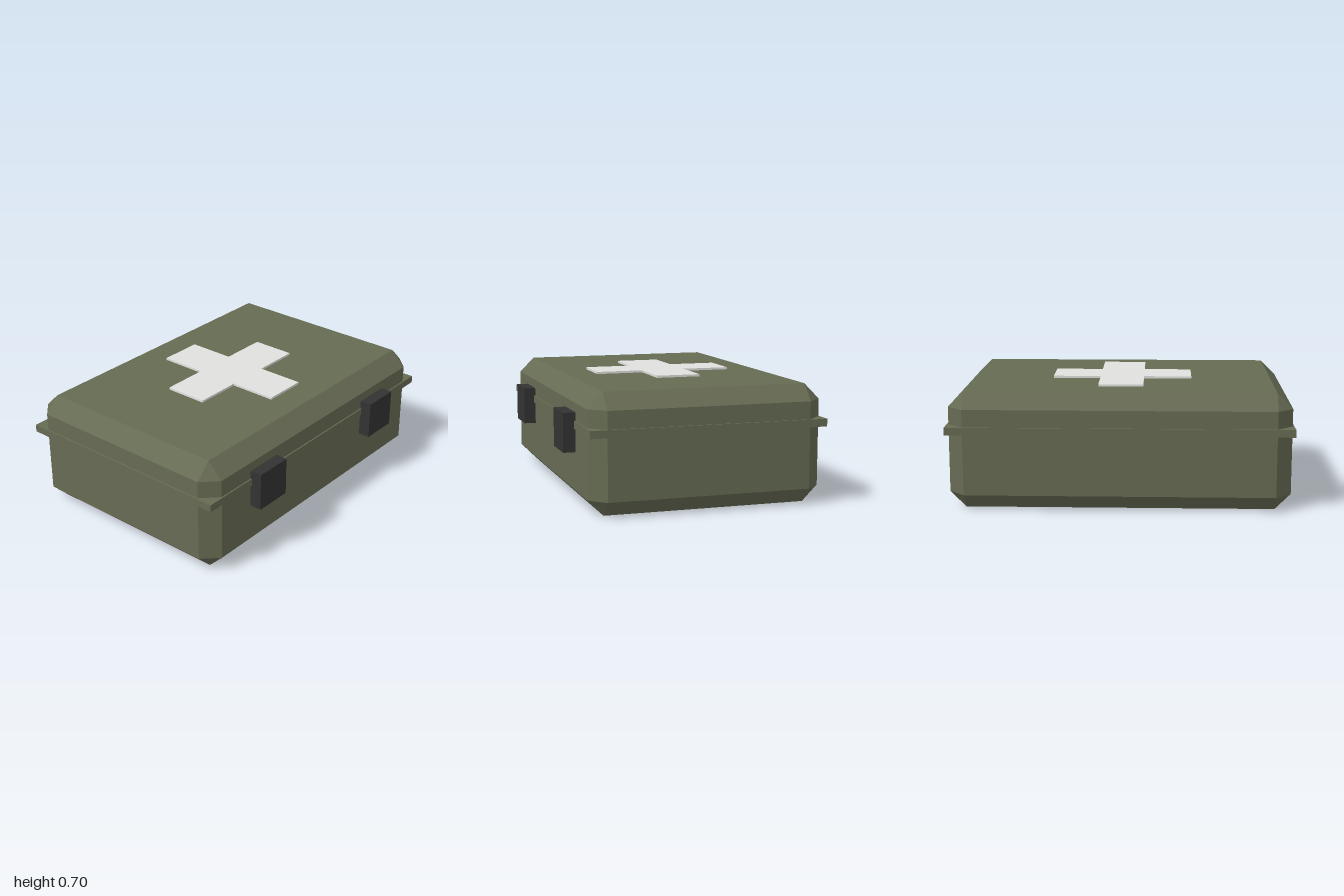
import * as THREE from 'three';
import { ConvexGeometry } from 'three/addons/geometries/ConvexGeometry.js';

const material = (name, color) => {
  const m = new THREE.MeshStandardMaterial({ color });
  m.name = name;
  return m;
};

// Box with every edge and corner cut off flat
function chamferedBox(w, h, d, bevel) {
  const points = [];
  const half = [w / 2, h / 2, d / 2];
  for (const sx of [-1, 1]) for (const sy of [-1, 1]) for (const sz of [-1, 1]) {
    for (let full = 0; full < 3; full++) {
      const p = [sx, sy, sz].map((s, i) => s * (half[i] - (i === full ? 0 : bevel)));
      points.push(new THREE.Vector3(...p));
    }
  }
  return new ConvexGeometry(points);
}

export function createModel() {
  const group = new THREE.Group();
  const olive = material('olive green', 0x666b53);
  const dark = material('dark grey', 0x333333);
  const white = material('off white', 0xe0e0de);
  const zMid = -0.032;

  const add = (name, geometry, mat, x, y, z) => {
    const mesh = new THREE.Mesh(geometry, mat);
    mesh.name = name;
    mesh.position.set(x, y, z);
    group.add(mesh);
    return mesh;
  };

  // Case body and the lip where the lid closes
  add('caseBody', chamferedBox(1.98, 0.686, 1.37, 0.092), olive, 0, 0.343, zMid);
  add('lidRim', new THREE.BoxGeometry(2, 0.044, 1.386), olive, 0, 0.47, zMid);

  // Front latches
  for (const side of [-1, 1]) {
    const name = side > 0 ? 'leftLatch' : 'rightLatch';
    add(name, new THREE.BoxGeometry(0.23, 0.226, 0.1), dark, side * 0.535, 0.428, 0.675);
  }

  // Raised cross on the lid
  const a = 0.132, r = 0.419;
  const outline = [[a, r], [-a, r], [-a, a], [-r, a], [-r, -a], [-a, -a],
    [-a, -r], [a, -r], [a, -a], [r, -a], [r, a], [a, a]];
  const shape = new THREE.Shape(outline.map(([x, y]) => new THREE.Vector2(x, y)));
  const cross = new THREE.ExtrudeGeometry(shape, { depth: 0.016, bevelEnabled: false });
  cross.rotateX(-Math.PI / 2);
  add('lidCross', cross, white, 0, 0.683, zMid);

  return group;
}
